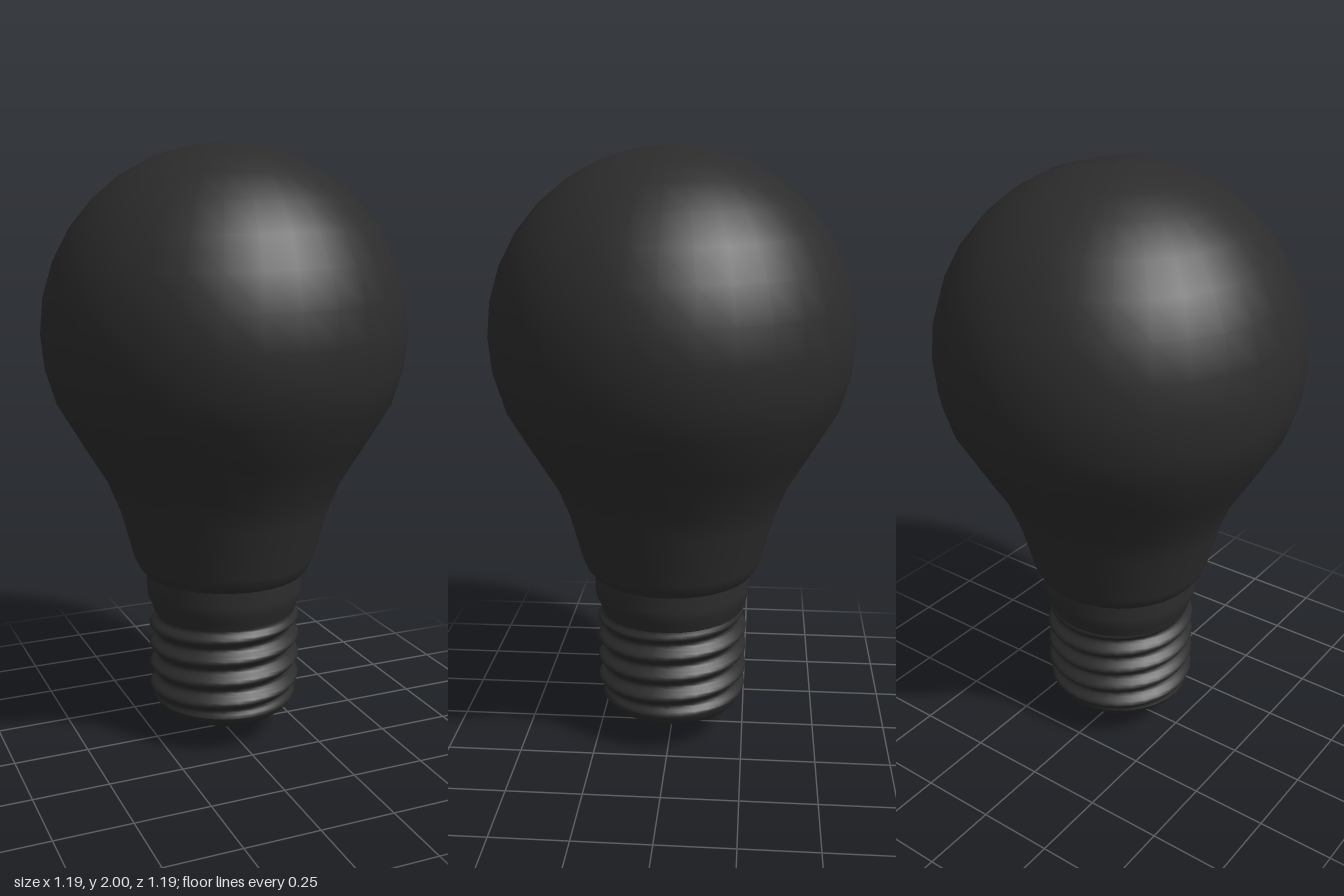
import * as THREE from 'three';
import { mergeVertices, toCreasedNormals } from 'three/addons/utils/BufferGeometryUtils.js';

const SIDES = 32;
const PITCH = 0.074;

// Lathe from [radius, height] pairs listed bottom to top
function lathe(points) {
  return new THREE.LatheGeometry(points.map(([r, y]) => new THREE.Vector2(r, y)), SIDES);
}

// Screw thread: a sleeve whose radius waves along a right-handed helix
function threadGeometry(y0, y1, rows) {
  const points = [];
  for (let i = 0; i <= rows; i++) points.push([0.244, y0 + ((y1 - y0) * i) / rows]);
  let geo = lathe(points);
  geo.deleteAttribute('uv');
  geo.deleteAttribute('normal');
  geo = mergeVertices(geo, 1e-5);
  const pos = geo.attributes.position;
  for (let i = 0; i < pos.count; i++) {
    const x = pos.getX(i), y = pos.getY(i), z = pos.getZ(i);
    const angle = Math.atan2(-z, x);
    // the wave fades out at both ends of the sleeve
    const fade = Math.min(1, (y - y0) / 0.03, (y1 - y) / 0.03);
    const wave = Math.cos((2 * Math.PI * (y - 0.36)) / PITCH - angle);
    const s = 1 + (0.015 * fade * wave) / 0.244;
    pos.setXYZ(i, x * s, y, z * s);
  }
  geo.computeVertexNormals();
  return geo;
}

export function createModel() {
  const group = new THREE.Group();
  const dark = new THREE.MeshStandardMaterial({ color: 0x2c2c2c });
  dark.name = 'charcoal';

  const add = (name, geometry) => {
    const mesh = new THREE.Mesh(geometry, dark);
    mesh.name = name;
    group.add(mesh);
  };

  // Glass bulb: tapered neck running into a round dome
  const glass = [[0.275, 0.587], [0.29, 0.605], [0.307, 0.64], [0.35, 0.8], [0.392, 0.905], [0.47, 1.035]];
  const R = 0.597;
  for (let i = -2; i <= 8; i++) {
    const a = (i * Math.PI) / 16;
    glass.push([i === 8 ? 0 : R * Math.cos(a), 1.403 + R * Math.sin(a)]);
  }
  add('glassBulb', lathe(glass));

  // Rim closing the underside of the glass
  add('glassRim', lathe([[0.25, 0.585], [0.275, 0.587]]));

  // Plain metal collar above the thread
  add('collar', lathe([[0.244, 0.45], [0.252, 0.475], [0.264, 0.505], [0.266, 0.53], [0.266, 0.588]]));

  add('screwThread', threadGeometry(0.135, 0.455, 52));

  // Rounded end of the base with the contact tip
  add('baseEnd', toCreasedNormals(lathe([
    [0.085, 0.031], [0.15, 0.066], [0.205, 0.1], [0.225, 0.108], [0.237, 0.122], [0.244, 0.136],
  ]), 0.9));
  add('contactTip', lathe([[0, 0], [0.025, 0.006], [0.045, 0.019], [0.085, 0.031]]));

  return group;
}
